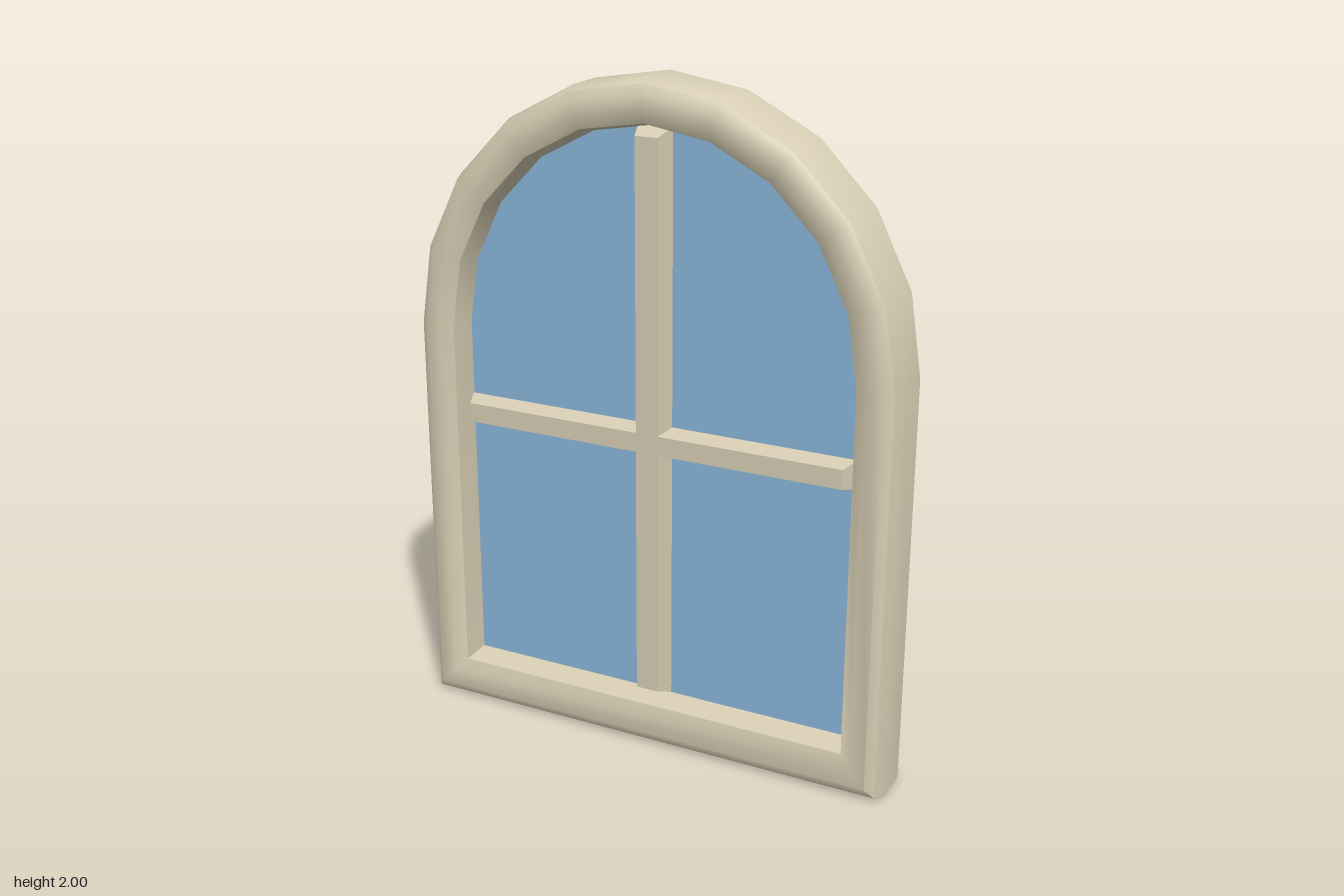
import * as THREE from 'three';
import { toCreasedNormals } from 'three/addons/utils/BufferGeometryUtils.js';

const BACK = -0.09, GLASS = 0.0;

// Arched outline, inset by o, counter-clockwise seen from the front
function outline(o) {
  const pts = [[-(0.75 - o), 1.1 * o], [0.75 - o, 1.1 * o]];
  for (let i = 0; i <= 10; i++) {
    const a = (i / 10) * Math.PI;
    pts.push([Math.cos(a) * (0.75 - o), 1.23 + Math.sin(a) * (0.77 - o)]);
  }
  return pts.map(([x, y]) => new THREE.Vector2(x, y));
}

// Sweep the [inset, z] profile around the outline
function frameGeometry(profile) {
  const pos = [], index = [];
  const n = outline(0).length;
  profile.forEach(([o, z]) => outline(o).forEach(p => pos.push(p.x, p.y, z)));
  for (let k = 0; k < profile.length - 1; k++) {
    for (let i = 0; i < n; i++) {
      const j = (i + 1) % n;
      const a = k * n + i, b = k * n + j, c = a + n, d = b + n;
      index.push(a, b, d, a, d, c);
    }
  }
  const g = new THREE.BufferGeometry();
  g.setAttribute('position', new THREE.Float32BufferAttribute(pos, 3));
  g.setIndex(index);
  return toCreasedNormals(g, 0.6);
}

// Bar whose front face is inset on all four sides
function barGeometry(w, h, insetX, insetY, depth) {
  const g = new THREE.BoxGeometry(w, h, depth);
  const p = g.attributes.position;
  for (let i = 0; i < p.count; i++) {
    if (p.getZ(i) > 0) {
      p.setX(i, p.getX(i) - Math.sign(p.getX(i)) * insetX);
      p.setY(i, p.getY(i) - Math.sign(p.getY(i)) * insetY);
    }
  }
  const flat = g.toNonIndexed();
  flat.computeVertexNormals();
  return flat;
}

export function createModel() {
  const group = new THREE.Group();
  group.name = 'archedWindow';
  const stone = new THREE.MeshStandardMaterial({ color: 0xd6cdb3 });
  stone.name = 'cream frame';
  const blue = new THREE.MeshStandardMaterial({ color: 0x88b5d8 });
  blue.name = 'blue glass';

  const add = (name, geometry, material, x = 0, y = 0, z = 0) => {
    const mesh = new THREE.Mesh(geometry, material);
    mesh.name = name;
    mesh.position.set(x, y, z);
    group.add(mesh);
  };

  // Rounded surround, from back edge over the front to the glass
  add('frame', frameGeometry([
    [0, BACK], [0, 0.035], [0.014, 0.074], [0.04, 0.09],
    [0.085, 0.09], [0.12, 0.074], [0.135, GLASS],
  ]), stone);

  // Flat back panel
  const back = new THREE.ShapeGeometry(new THREE.Shape(outline(0)));
  back.rotateY(Math.PI);
  add('backPanel', back, stone, 0, 0, BACK);

  // Glass pane
  add('glass', new THREE.ShapeGeometry(new THREE.Shape(outline(0.135))), blue, 0, 0, GLASS);

  // Crossing glazing bars
  const depth = 0.056;
  add('verticalBar', barGeometry(0.106, 1.716, 0.018, 0.024, depth), stone, 0, 1.007, GLASS + depth / 2);
  add('horizontalBar', barGeometry(1.234, 0.084, 0.022, 0.013, depth), stone, 0, 0.962, GLASS + depth / 2);

  return group;
}
